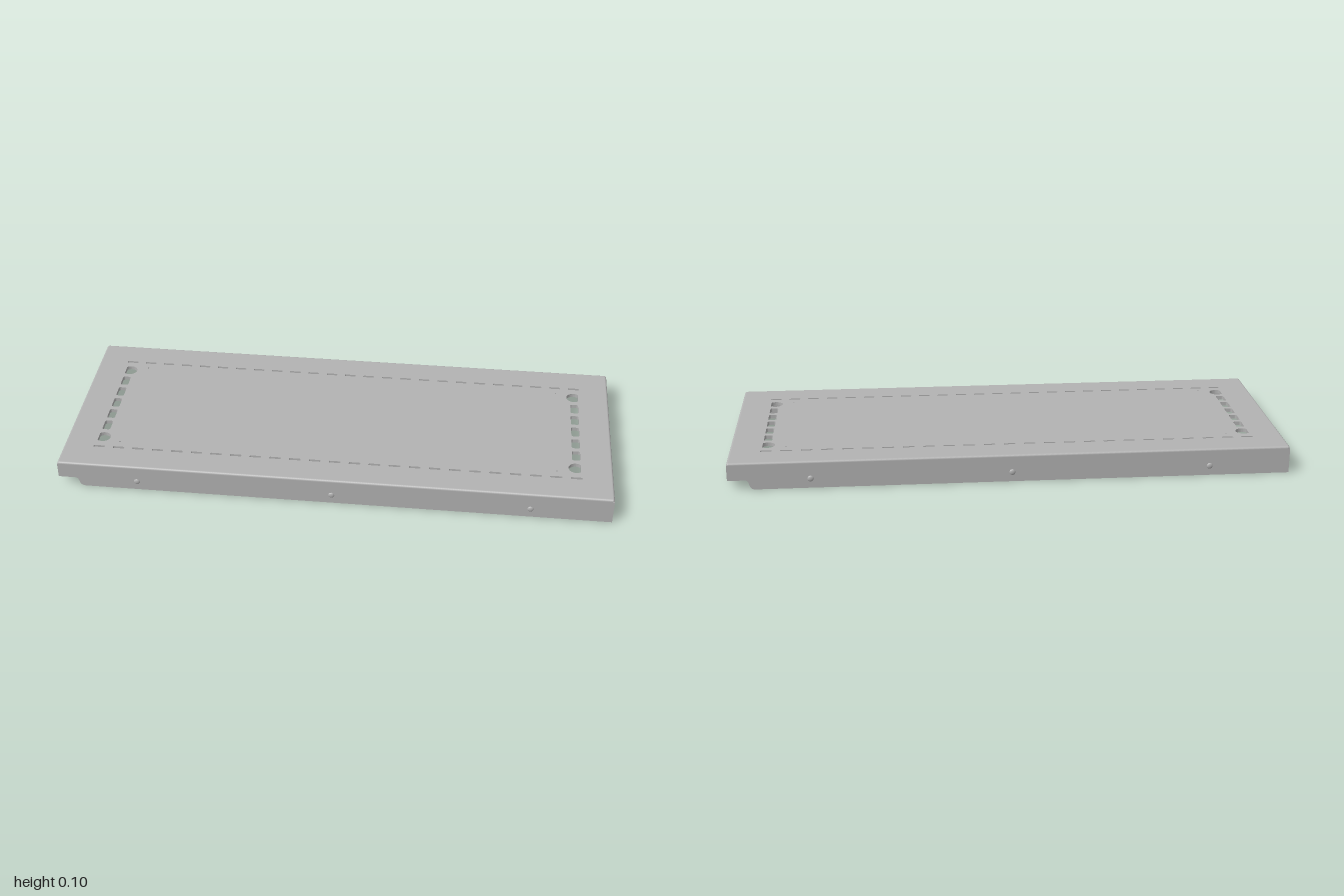
import * as THREE from 'three';

const HALF_X = 1, HALF_Z = 0.385, HEIGHT = 0.1;
const BEND = 0.008, WALL = 0.007, PITCH = 0.0725;

export function createModel() {
  const metal = new THREE.MeshStandardMaterial({ color: 0xb2b2b2 });
  metal.name = 'grey sheet metal';
  const model = new THREE.Group();
  model.name = 'ventedCover';

  const add = (parent, name, geometry, x = 0, y = 0, z = 0) => {
    const mesh = new THREE.Mesh(geometry, metal);
    mesh.name = name;
    mesh.position.set(x, y, z);
    parent.add(mesh);
    return mesh;
  };
  const extrude = (shape, depth) =>
    new THREE.ExtrudeGeometry(shape, { depth, bevelEnabled: false, curveSegments: 10 });

  const rect = (w, h, x = 0, y = 0, Type = THREE.Path) => new Type([
    new THREE.Vector2(x - w / 2, y - h / 2), new THREE.Vector2(x + w / 2, y - h / 2),
    new THREE.Vector2(x + w / 2, y + h / 2), new THREE.Vector2(x - w / 2, y + h / 2),
  ]);
  const round = (x, y, r) => new THREE.Path().absarc(x, y, r, 0, Math.PI * 2);

  // Slot with softly rounded corners
  const slot = (x, y, w, h, r) => {
    const p = new THREE.Path(), a = w / 2 - r, b = h / 2 - r;
    p.absarc(x + a, y + b, r, 0, Math.PI / 2);
    p.absarc(x - a, y + b, r, Math.PI / 2, Math.PI);
    p.absarc(x - a, y - b, r, Math.PI, Math.PI * 1.5);
    p.absarc(x + a, y - b, r, Math.PI * 1.5, Math.PI * 2);
    return p;
  };

  // Round hole cut flat on its outer side
  const dHole = (side, y) => {
    const r = 0.027, cut = 0.85;
    const start = side > 0 ? cut : Math.PI + cut;
    return new THREE.Path().absarc(side * 0.868, y, r, start, start + Math.PI * 2 - 2 * cut);
  };

  // Openings around the rim that pass through both sheets
  const rimOpenings = () => {
    const holes = [];
    for (const s of [-1, 1]) {
      for (let i = -2; i <= 2; i++) holes.push(slot(s * 0.87, i * PITCH, 0.03, 0.054, 0.007));
      for (const t of [-1, 1]) holes.push(dHole(s, t * 3 * PITCH));
      for (let i = -12; i <= 12; i++) holes.push(slot(i * PITCH, s * 0.275, 0.042, 0.01, 0.003));
    }
    return holes;
  };

  const sheet = (name, w, d, y, thickness, holes) => {
    const shape = rect(w, d, 0, 0, THREE.Shape);
    shape.holes.push(...holes);
    const geometry = extrude(shape, thickness);
    geometry.rotateX(-Math.PI / 2);
    add(model, name, geometry, 0, y, 0);
  };

  // Smooth top sheet with rim slots and four pinholes
  const pins = [];
  for (const s of [-1, 1]) for (const t of [-1, 1]) pins.push(round(s * 0.8, t * 0.24, 0.003));
  sheet('topSheet', 2 * (HALF_X - BEND), 2 * (HALF_Z - BEND), 0.094, 0.006,
    [...rimOpenings(), ...pins]);

  // Perforated sheet under the top
  const vents = [];
  for (let i = -11; i <= 11; i++) {
    for (let j = -3; j <= 3; j++) vents.push(round(i * PITCH, j * PITCH, 0.026));
  }
  sheet('perforatedSheet', 2 * (HALF_X - WALL), 2 * (HALF_Z - WALL), 0.086, 0.008,
    [...rimOpenings(), ...vents]);

  // Wall outline with a curved cable notch at its start
  const wallShape = (start, end, edge) => {
    const top = HEIGHT - BEND, notch = 0.035;
    const s = new THREE.Shape();
    s.moveTo(start, notch);
    s.lineTo(edge + 0.062, notch);
    s.bezierCurveTo(edge + 0.082, notch, edge + 0.068, 0, edge + 0.097, 0);
    s.lineTo(end, 0);
    s.lineTo(end, top);
    s.lineTo(start, top);
    s.closePath();
    return s;
  };

  // Rounded fold joining a wall to the top
  const foldShape = new THREE.Shape();
  foldShape.moveTo(0, 0);
  foldShape.lineTo(BEND, 0);
  foldShape.absarc(0, 0, BEND, 0, Math.PI / 2);
  foldShape.closePath();

  // Half of the skirt, repeated by a half turn
  for (const turn of [0, Math.PI]) {
    const half = new THREE.Group();
    half.name = turn ? 'backLeftSkirt' : 'frontRightSkirt';
    half.rotation.y = turn;
    model.add(half);

    add(half, 'longWall', extrude(wallShape(-HALF_X, HALF_X, -HALF_X), WALL), 0, 0, HALF_Z - WALL);
    const inner = HALF_Z - WALL;
    add(half, 'endWall', extrude(wallShape(-inner, inner, -HALF_Z), WALL), HALF_X, 0, 0)
      .rotation.y = -Math.PI / 2;

    const foldY = HEIGHT - BEND, fx = HALF_X - BEND, fz = HALF_Z - BEND;
    add(half, 'endFold', extrude(foldShape, 2 * fz), fx, foldY, -fz);
    add(half, 'longFold', extrude(foldShape, 2 * fx), fx, foldY, fz).rotation.y = -Math.PI / 2;
    for (const s of [-1, 1]) {
      add(half, 'foldCorner', new THREE.SphereGeometry(BEND, 12, 8), s * fx, foldY, fz);
    }

    // Domed screws with nuts inside the long wall
    for (const x of [-0.71, 0, 0.71]) {
      const head = new THREE.SphereGeometry(0.011, 16, 6, 0, Math.PI * 2, 0, Math.PI / 2);
      head.scale(1, 0.45, 1);
      head.rotateX(Math.PI / 2);
      add(half, 'screwHead', head, x, 0.035, HALF_Z);
      const nut = new THREE.CylinderGeometry(0.013, 0.013, 0.008, 16);
      nut.rotateX(Math.PI / 2);
      add(half, 'screwNut', nut, x, 0.035, HALF_Z - WALL - 0.004);
    }
  }
  return model;
}
